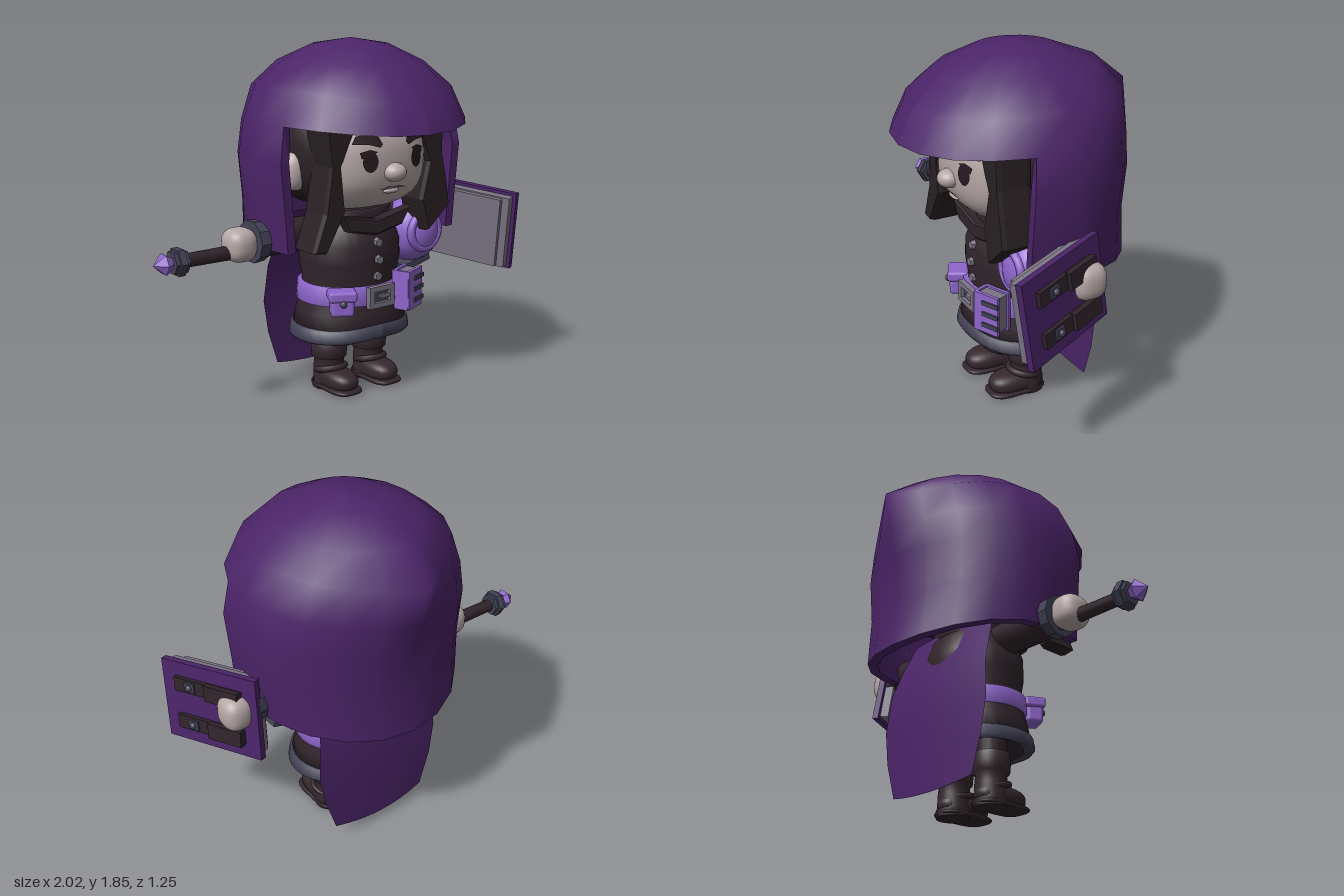
import * as THREE from 'three';
import { RoundedBoxGeometry } from 'three/addons/geometries/RoundedBoxGeometry.js';

const material = (name, color, side = THREE.FrontSide) => {
  const m = new THREE.MeshStandardMaterial({ color, side });
  m.name = name;
  return m;
};

export function createModel() {
  const cloth = material('purple cloth', 0x4b2468, THREE.DoubleSide);
  const lavender = material('lavender', 0x8f66cc);
  const coatMat = material('dark coat', 0x30242b);
  const hairMat = material('dark hair', 0x2a2125);
  const bootMat = material('boot leather', 0x35282e);
  const skin = material('pale skin', 0xb5a7a6);
  const slate = material('slate', 0x424256);
  const grey = material('grey', 0x7b7584);
  const ink = material('eye and brow', 0x271a20);

  const root = new THREE.Group();
  const body = new THREE.Group();
  body.name = 'body';
  body.position.x = 0.165;
  root.add(body);

  const add = (parent, name, geo, mat, x = 0, y = 0, z = 0) => {
    const m = new THREE.Mesh(geo, mat);
    m.name = name;
    m.position.set(x, y, z);
    parent.add(m);
    return m;
  };
  const flat = (geo) => {
    const g = geo.toNonIndexed();
    g.computeVertexNormals();
    return g;
  };
  // Squarish ellipsoid
  const blob = (rx, ry, rz, p = 2.5) => {
    const g = new THREE.SphereGeometry(1, 28, 20), a = g.attributes.position;
    for (let i = 0; i < a.count; i++) {
      const d = [a.getX(i), a.getY(i), a.getZ(i)];
      const r = d.reduce((s, c) => s + Math.abs(c) ** p, 0) ** (-1 / p);
      a.setXYZ(i, d[0] * r * rx, d[1] * r * ry, d[2] * r * rz);
    }
    g.computeVertexNormals();
    return g;
  };
  // Surface of rows x cols points, optionally with cells left out
  const grid = (rows, cols, point, keep = () => true) => {
    const pos = [], idx = [];
    for (let i = 0; i < rows; i++) for (let j = 0; j < cols; j++) pos.push(...point(i, j));
    for (let i = 0; i < rows - 1; i++) for (let j = 0; j < cols - 1; j++) {
      if (!keep(i, j)) continue;
      const a = i * cols + j, b = a + cols;
      idx.push(a, b, a + 1, b, b + 1, a + 1);
    }
    const g = new THREE.BufferGeometry();
    g.setAttribute('position', new THREE.Float32BufferAttribute(pos, 3));
    g.setIndex(idx);
    g.computeVertexNormals();
    return g;
  };
  const lathe = (pts, squash = 1) =>
    new THREE.LatheGeometry(pts.map((p) => new THREE.Vector2(...p)), 32).scale(1, 1, squash);
  const rod = (parent, name, mat, x0, x1, y, z, r0, r1, sides = 20, faceted = false) => {
    let g = new THREE.CylinderGeometry(r1, r0, Math.abs(x1 - x0), sides);
    if (faceted) g = flat(g);
    g.rotateZ(x1 > x0 ? -Math.PI / 2 : Math.PI / 2);
    return add(parent, name, g, mat, (x0 + x1) / 2, y, z);
  };
  const polygon = (pts) => new THREE.Shape(pts.map((p) => new THREE.Vector2(...p)));

  // Hood: rows of [half width, front z, back z, side y, front y, back y, back point]
  const hoodRows = [
    [0, 0, 0, 1.85, 1.85, 1.85, 0], [0.19, 0.2, 0.2, 1.82, 1.82, 1.82, 0],
    [0.36, 0.4, 0.41, 1.74, 1.72, 1.73, 0.03], [0.5, 0.55, 0.53, 1.63, 1.57, 1.58, 0.1],
    [0.578, 0.62, 0.53, 1.46, 1.42, 1.4, 0.065], [0.61, 0.68, 0.53, 1.28, 1.28, 1.25, 0.025],
    [0.588, 0.68, 0.515, 1.05, 1.05, 1.02, 0], [0.57, 0.68, 0.54, 0.83, 0.83, 0.75, 0],
  ];
  const hoodPoint = (i, j, inner) => {
    const [w, zf, zb, ys, yf, yb, tip] = hoodRows[i];
    const t = (j / 20) * Math.PI * 2, c = Math.cos(t), s = Math.sin(t);
    const cut = inner && i ? 0.05 : 0;
    const peak = tip * (j === 10 ? 1 : Math.abs(j - 10) === 1 ? 0.25 : 0);
    const lower = i > 4 ? 0 : cut;
    return [(w - cut) * s, ys + ((c > 0 ? yf : yb) - ys) * c * c - (inner && i < 4 ? 0.03 : 0),
      c > 0 ? (zf - lower) * c : (zb - cut) * c - peak];
  };
  const hoodKeep = (i, j) => i < 4 || (j >= 4 && j < 16);
  const hood = new THREE.Group();
  hood.name = 'hood';
  body.add(hood);
  add(hood, 'hoodOuter', grid(8, 21, (i, j) => hoodPoint(i, j, false), hoodKeep), cloth);
  add(hood, 'hoodLining', grid(8, 21, (i, j) => hoodPoint(i, j, true), hoodKeep), cloth);
  const rim = [];
  for (let j = 0; j <= 4; j++) rim.push([4, j]);
  for (let i = 5; i < 8; i++) rim.push([i, 4]);
  for (let j = 5; j <= 16; j++) rim.push([7, j]);
  for (let i = 6; i > 3; i--) rim.push([i, 16]);
  for (let j = 17; j <= 20; j++) rim.push([4, j]);
  add(hood, 'hoodRim', flat(grid(2, rim.length, (i, j) => hoodPoint(...rim[j], i === 1))), cloth);

  // Cape: rows of [y, z, half width]
  const capeRows = [[0.95, -0.14, 0.3], [0.8, -0.2, 0.33], [0.65, -0.25, 0.355],
    [0.45, -0.265, 0.375], [0.27, -0.27, 0.345], [0.08, -0.27, 0.285]];
  add(body, 'cape', grid(6, 9, (i, j) => {
    const u = j / 4 - 1, [y, z, w] = capeRows[i], bow = 1 - u * u;
    return [u * w, y - (i === 5 ? 0.03 * bow : 0), z - 0.02 * bow];
  }), cloth);

  // Head, ears, nose
  const HR = [0.35, 0.27, 0.36], HY = 1.25, HP = 2.7;
  add(body, 'head', blob(...HR, HP), skin, 0, HY, 0);
  add(body, 'nose', blob(0.062, 0.048, 0.06, 2), skin, 0, 1.205, 0.36);
  for (const s of [-1, 1]) add(body, 'ear', blob(0.065, 0.1, 0.06, 2.2), skin, s * 0.365, 1.2, 0.02);

  // Flat facial details laid on the head
  const headZ = (x, y) => HR[2] * Math.max(0,
    1 - Math.abs(x / HR[0]) ** HP - Math.abs((y - HY) / HR[1]) ** HP) ** (1 / HP);
  const decal = (name, shape, mat) => {
    const g = new THREE.ShapeGeometry(shape, 12), a = g.attributes.position;
    for (let i = 0; i < a.count; i++) a.setZ(i, headZ(a.getX(i), a.getY(i)) + 0.009);
    g.computeVertexNormals();
    add(body, name, g, mat);
  };
  for (const s of [-1, 1]) {
    const eye = new THREE.Shape();
    eye.absellipse(s * 0.147, 1.268, 0.04, 0.052, 0, Math.PI * 2);
    decal('eye', eye, ink);
    decal('eyelash', polygon([[0.105, 1.315], [0.15, 1.328], [0.2, 1.315], [0.193, 1.285],
      [0.15, 1.3]].map(([x, y]) => [s * x, y])), ink);
    decal('eyebrow', polygon([[0.075, 1.35], [0.09, 1.335], [0.15, 1.352], [0.23, 1.355],
      [0.205, 1.393], [0.14, 1.402], [0.09, 1.385]].map(([x, y]) => [s * x, y])), ink);
  }
  decal('upperLip', polygon([[-0.085, 1.12], [-0.03, 1.136], [0, 1.13], [0.03, 1.136], [0.085, 1.12]]), grey);
  const lip = add(body, 'lowerLip', blob(0.05, 0.014, 0.016, 2), skin, 0, 1.108, 0.335);
  lip.rotation.x = 0.2;

  // Hair cap and front locks
  add(body, 'hairCap', blob(0.39, 0.3, 0.36, HP), hairMat, 0, 1.28, -0.06);
  const locks = [
    [[-0.37, 1.46], [-0.19, 1.46], [-0.24, 1.36], [-0.29, 1.25], [-0.265, 1.02], [-0.375, 0.83],
      [-0.435, 0.84], [-0.37, 1.02], [-0.335, 1.25]],
    [[0.37, 1.46], [0.19, 1.46], [0.235, 1.36], [0.3, 1.22], [0.25, 1.02], [0.295, 0.86],
      [0.43, 0.98], [0.405, 1.12], [0.375, 1.25]],
  ];
  for (const pts of locks) {
    const g = new THREE.ExtrudeGeometry(polygon(pts), {
      depth: 0.13, bevelEnabled: true, bevelSize: 0.008, bevelThickness: 0.025, bevelSegments: 1 });
    add(body, 'hairLock', g, hairMat, 0, 0, 0.145);
  }

  // Coat, hem, collar, buttons
  add(body, 'coat', lathe([[0, 0.35], [0.325, 0.33], [0.3, 0.44], [0.275, 0.54], [0.265, 0.6], [0.283, 0.7],
    [0.28, 0.8], [0.24, 0.9], [0.15, 0.97], [0, 0.99]], 0.86), coatMat);
  const hem = lathe([[0.28, 0.31], [0.325, 0.293], [0.343, 0.31], [0.333, 0.36], [0.3, 0.38]], 0.84);
  const hp = hem.attributes.position;
  for (let i = 0; i < hp.count; i++) {
    const front = Math.max(0, hp.getZ(i) / 0.288);
    hp.setY(i, hp.getY(i) + 0.03 * Math.min(1, front) ** 6);
  }
  hem.computeVertexNormals();
  add(body, 'hem', hem, slate);
  const collar = polygon([[-0.22, 0.975], [0, 0.93], [0.22, 0.975], [0.17, 0.9], [0, 0.865], [-0.17, 0.9]]);
  add(body, 'collarFront', new THREE.ExtrudeGeometry(collar, { depth: 0.04, bevelSize: 0.01,
    bevelThickness: 0.01, bevelSegments: 1 }), coatMat, 0, 0, 0.18);
  add(body, 'collar', lathe([[0.2, 0.9], [0.225, 0.975], [0.18, 0.985]], 0.88), coatMat);
  for (const [y, z] of [[0.82, 0.235], [0.73, 0.245], [0.64, 0.235]]) {
    add(body, 'button', flat(new THREE.CylinderGeometry(0.022, 0.028, 0.03, 6)).rotateX(Math.PI / 2), grey, 0, y, z);
  }

  // Belt, buckle, pouch and small strapped book
  add(body, 'belt', lathe([[0.27, 0.488], [0.296, 0.495], [0.29, 0.585], [0.262, 0.593]], 0.88), lavender);
  const frame = polygon([[-0.082, -0.057], [0.082, -0.057], [0.082, 0.057], [-0.082, 0.057]]);
  frame.holes.push(new THREE.Path([[-0.052, -0.03], [-0.052, 0.03], [0.052, 0.03], [0.052, -0.03]]
    .map((p) => new THREE.Vector2(...p))));
  add(body, 'buckle', new THREE.ExtrudeGeometry(frame, { depth: 0.03, bevelEnabled: false }), grey, 0, 0.54, 0.25);
  add(body, 'bucklePlate', new THREE.BoxGeometry(0.11, 0.07, 0.02), slate, 0, 0.54, 0.252);
  add(body, 'bucklePin', new THREE.BoxGeometry(0.06, 0.018, 0.03), grey, 0.02, 0.54, 0.262);

  const pouch = new THREE.Group();
  pouch.name = 'pouch';
  pouch.position.set(-0.215, 0.525, 0.215);
  pouch.rotation.y = -0.5;
  body.add(pouch);
  add(pouch, 'pouchBag', new RoundedBoxGeometry(0.12, 0.125, 0.09, 2, 0.02), lavender);
  add(pouch, 'pouchFlap', new RoundedBoxGeometry(0.145, 0.055, 0.11, 2, 0.015), lavender, 0, 0.045, 0);
  add(pouch, 'pouchStud', blob(0.018, 0.018, 0.015, 2), slate, 0, 0.01, 0.055);

  const beltBook = new THREE.Group();
  beltBook.name = 'beltBook';
  beltBook.position.set(0.205, 0.545, 0.235);
  beltBook.rotation.y = 0.4;
  body.add(beltBook);
  add(beltBook, 'bookPages', new THREE.BoxGeometry(0.13, 0.19, 0.07), grey);
  for (const z of [-0.042, 0.042]) add(beltBook, 'bookCover', new THREE.BoxGeometry(0.15, 0.21, 0.018), lavender, 0, 0, z);
  add(beltBook, 'bookSpine', new THREE.BoxGeometry(0.018, 0.21, 0.09), lavender, -0.07, 0, 0);
  for (const y of [-0.06, 0, 0.06]) add(beltBook, 'bookStrap', new THREE.BoxGeometry(0.1, 0.022, 0.012), slate, 0.03, y, 0.054);

  // Legs and boots
  for (const s of [-1, 1]) {
    const leg = new THREE.Group();
    leg.name = 'leg';
    leg.position.x = s * 0.135;
    body.add(leg);
    add(leg, 'legTube', new THREE.CylinderGeometry(0.085, 0.08, 0.2, 20), coatMat, 0, 0.29, 0);
    add(leg, 'bootShaft', lathe([[0.085, 0.02], [0.083, 0.12], [0.078, 0.17], [0.094, 0.175], [0.098, 0.22],
      [0.094, 0.275], [0.075, 0.28]]), bootMat);
    add(leg, 'bootFoot', blob(0.083, 0.058, 0.15, 2.5), bootMat, 0, 0.062, 0.06);
    add(leg, 'bootBand', new THREE.TorusGeometry(0.078, 0.017, 8, 20).rotateX(1.35), bootMat, 0, 0.11, 0.015);
    add(leg, 'bootSole', blob(0.088, 0.017, 0.157, 3.5), coatMat, 0, 0.018, 0.065);
    add(leg, 'bootHeel', new THREE.CylinderGeometry(0.085, 0.085, 0.04, 20), coatMat, 0, 0.02, -0.008);
  }

  // Right arm with wand
  rod(root, 'rightSleeve', coatMat, 0.06, -0.43, 0.87, 0, 0.085, 0.088);
  rod(root, 'rightCuff', slate, -0.4, -0.46, 0.87, 0, 0.105, 0.11, 10, true);
  add(root, 'rightHand', blob(0.08, 0.085, 0.088, 2.7), skin, -0.525, 0.865, 0);
  rod(root, 'wandShaft', coatMat, -0.42, -0.85, 0.832, 0, 0.038, 0.034, 10);
  rod(root, 'wandCollar', slate, -0.83, -0.905, 0.832, 0, 0.06, 0.06, 6, true);
  rod(root, 'wandRing', slate, -0.85, -0.885, 0.832, 0, 0.073, 0.073, 6, true);
  rod(root, 'gemBase', lavender, -0.9, -0.945, 0.832, 0, 0.028, 0.056, 6, true);
  rod(root, 'gemTip', lavender, -0.945, -1, 0.832, 0, 0.056, 0.002, 6, true);

  // Left arm with shoulder guard
  rod(root, 'leftSleeve', coatMat, 0.36, 0.74, 0.88, 0, 0.085, 0.1);
  const cuff = rod(root, 'leftCuff', slate, 0.71, 0.775, 0.89, -0.01, 0.1, 0.115, 10, true);
  cuff.rotation.z = 0.15;
  add(root, 'leftHand', blob(0.078, 0.09, 0.085, 2.7), skin, 0.847, 0.87, -0.01);
  add(root, 'shoulderGuard', blob(0.155, 0.175, 0.17, 2.1), lavender, 0.52, 0.815, 0.07);
  add(root, 'guardRing', new THREE.TorusGeometry(0.095, 0.022, 10, 28), lavender, 0.515, 0.825, 0.205);
  const tab = add(root, 'guardStrap', new THREE.BoxGeometry(0.18, 0.035, 0.12), slate, 0.525, 0.635, 0.08);
  tab.rotation.z = 0.25;

  // Large book carried as a shield
  const book = new THREE.Group();
  book.name = 'shieldBook';
  book.position.set(0.885, 0.82, 0.14);
  book.rotation.set(0.1, 0.39, 0.1, 'YXZ');
  root.add(book);
  add(book, 'cover', new THREE.BoxGeometry(0.035, 0.435, 0.57), cloth);
  add(book, 'pages', new THREE.BoxGeometry(0.05, 0.4, 0.53), grey, -0.042, 0, 0);
  add(book, 'openPages', new THREE.BoxGeometry(0.03, 0.385, 0.47), grey, -0.08, 0, -0.01);
  for (const y of [-0.105, 0.105]) {
    add(book, 'strap', new THREE.BoxGeometry(0.025, 0.075, 0.4), coatMat, 0.027, y, 0);
    add(book, 'strapLoop', new THREE.BoxGeometry(0.03, 0.085, 0.2), coatMat, 0.045, y, -0.1);
    add(book, 'strapPlate', new THREE.BoxGeometry(0.02, 0.05, 0.06), slate, 0.04, y, 0.1);
    add(book, 'strapStud', blob(0.015, 0.018, 0.018, 2), slate, 0.052, y, 0.1);
  }
  return root;
}
